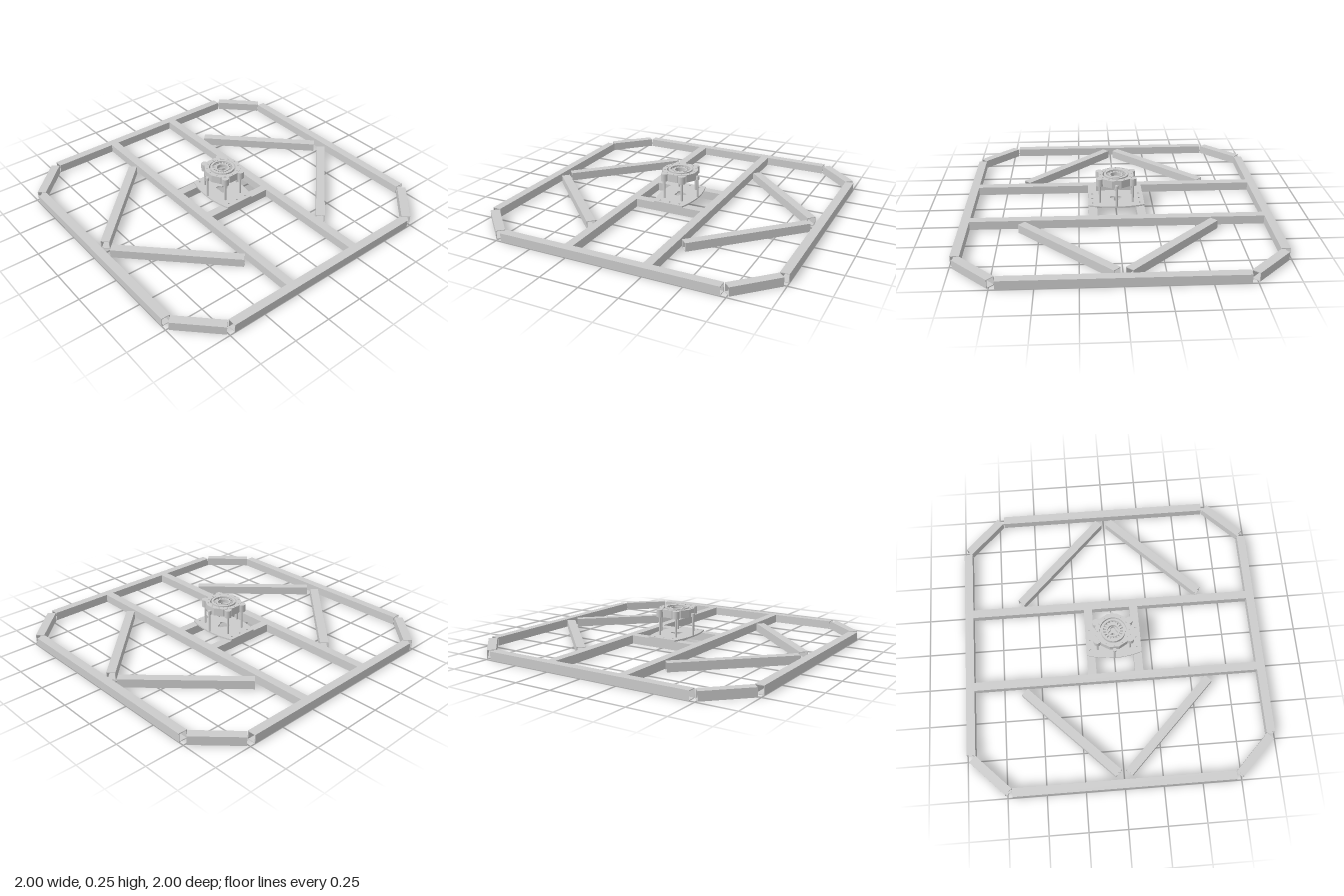
import * as THREE from 'three';

const W = 0.056;      // tube width
const WALL = 0.004;   // tube wall
const material = new THREE.MeshStandardMaterial({ color: 0xcccccc });

function add(parent, name, geometry) {
  const mesh = new THREE.Mesh(geometry, material);
  mesh.name = name;
  parent.add(mesh);
  return mesh;
}

function square(Type, size) {
  const h = size / 2;
  return new Type([[-h, -h], [h, -h], [h, h], [-h, h]].map(([x, y]) => new THREE.Vector2(x, y)));
}

function circle(r, x = 0, y = 0) {
  const path = new THREE.Path();
  path.absarc(x, y, r, 0, Math.PI * 2, true);
  return path;
}

// Extrudes a plan shape upwards from y0 to y1
function slab(shape, y0, y1, curveSegments = 16) {
  const g = new THREE.ExtrudeGeometry(shape, { depth: y1 - y0, bevelEnabled: false, curveSegments });
  return g.rotateX(-Math.PI / 2).translate(0, y0, 0);
}

// Open square tube on the ground between two plan points
function tube(parent, name, x0, z0, x1, z1) {
  const shape = square(THREE.Shape, W);
  shape.holes.push(square(THREE.Path, W - 2 * WALL));
  const length = Math.hypot(x1 - x0, z1 - z0);
  const g = new THREE.ExtrudeGeometry(shape, { depth: length, bevelEnabled: false });
  const mesh = add(parent, name, g);
  mesh.position.set(x0, W / 2, z0);
  mesh.rotation.y = Math.atan2(x1 - x0, z1 - z0);
}

function ring(outer, inner, sides = 0) {
  const shape = new THREE.Shape();
  if (sides) {
    shape.setFromPoints(Array.from({ length: sides }, (_, i) => {
      const a = (i + 0.5) / sides * Math.PI * 2;
      return new THREE.Vector2(Math.cos(a) * outer, Math.sin(a) * outer);
    }));
  } else shape.absarc(0, 0, outer, 0, Math.PI * 2, false);
  shape.holes.push(circle(inner));
  return shape;
}

// Rounded three-lobed opening
function trefoil(r) {
  return new THREE.Path(Array.from({ length: 36 }, (_, i) => {
    const a = -i / 36 * Math.PI * 2;
    const d = r * (1 + 0.25 * Math.cos(3 * (a - Math.PI / 2)));
    return new THREE.Vector2(Math.cos(a) * d, Math.sin(a) * d);
  }));
}

function buildFrame() {
  const frame = new THREE.Group();
  frame.name = 'frame';
  const e = 1 - W / 2;
  for (const s of [-1, 1]) {
    tube(frame, 'sideRail', s * e, -0.715, s * e, 0.715);
    tube(frame, 'endRail', -0.715, s * e, 0.715, s * e);
    tube(frame, 'crossRail', -1 + W, s * 0.26, 1 - W, s * 0.26);
    tube(frame, 'mountRail', s * 0.157, -0.232, s * 0.157, 0.232);
    for (const t of [-1, 1]) {
      tube(frame, 'cornerRail', s * 0.965, t * 0.74, s * 0.74, t * 0.965);
      tube(frame, 'diagonalBrace', s * 0.612, t * 0.32, s * 0.035, t * 0.9);
    }
  }
  return frame;
}

function buildHub() {
  const hub = new THREE.Group();
  hub.name = 'hub';

  // Base plate with bowed front and back edges
  const plate = new THREE.Shape();
  plate.moveTo(-0.185, -0.102);
  plate.quadraticCurveTo(0, -0.162, 0.185, -0.102);
  plate.lineTo(0.185, 0.102);
  plate.quadraticCurveTo(0, 0.162, -0.185, 0.102);
  plate.closePath();
  plate.holes.push(trefoil(0.035));
  for (const x of [-0.157, 0.157])
    for (const z of [-0.07, 0, 0.07]) plate.holes.push(circle(0.007, x, z));
  add(hub, 'basePlate', slab(plate, W, 0.066));

  // Six standoffs, each with an ear at the housing
  for (let i = 0; i < 6; i++) {
    const a = Math.PI / 6 + i * Math.PI / 3;
    const x = Math.cos(a) * 0.126, z = Math.sin(a) * 0.126;
    const post = add(hub, 'standoff', new THREE.CylinderGeometry(0.007, 0.007, 0.15, 12));
    post.position.set(x, 0.141, z);
    const side = Math.abs(x) > 0.05;
    const h = side ? 0.05 : 0.024;
    const ear = add(hub, 'housingEar', new THREE.CylinderGeometry(side ? 0.024 : 0.012, side ? 0.024 : 0.012, h, 16));
    ear.position.set(x, 0.19 + h / 2, z);
  }

  // Faceted housing, floor and raised inner rings
  add(hub, 'housing', slab(ring(0.12, 0.088, 12), 0.19, 0.242, 32));
  const floor = new THREE.Shape().absarc(0, 0, 0.09, 0, Math.PI * 2, false);
  floor.holes.push(trefoil(0.028));
  add(hub, 'housingFloor', slab(floor, 0.19, 0.215, 24));
  add(hub, 'rotorRing', slab(ring(0.08, 0.066), 0.215, 0.246, 24));
  add(hub, 'innerRing', slab(ring(0.046, 0.036), 0.215, 0.24, 24));

  // Teeth between the rings
  const teeth = 18;
  for (let i = 0; i < teeth; i++) {
    const a = i / teeth * Math.PI * 2;
    const tooth = add(hub, 'tooth', new THREE.BoxGeometry(0.022, 0.022, 0.009));
    tooth.position.set(Math.cos(a) * 0.056, 0.225, Math.sin(a) * 0.056);
    tooth.rotation.y = -a;
  }

  // Small screws around the housing rim
  for (let i = 0; i < 12; i++) {
    const a = i / 12 * Math.PI * 2;
    const screw = add(hub, 'rimScrew', new THREE.CylinderGeometry(0.005, 0.005, 0.006, 8));
    screw.position.set(Math.cos(a) * 0.103, 0.243, Math.sin(a) * 0.103);
  }
  return hub;
}

export function createModel() {
  const model = new THREE.Group();
  model.name = 'frameWithHub';
  model.add(buildFrame(), buildHub());
  return model;
}
